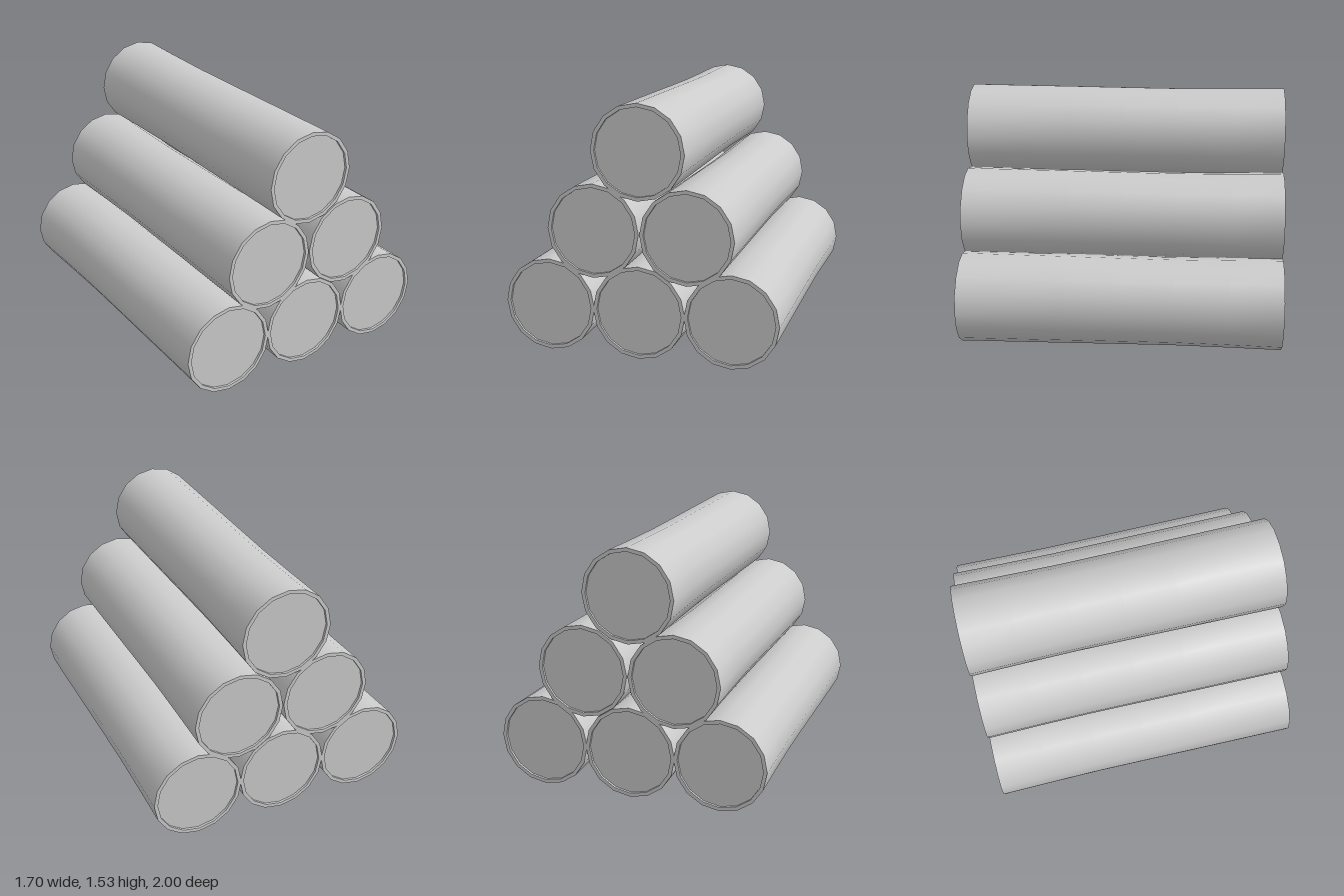
import * as THREE from 'three';
import { toCreasedNormals } from 'three/addons/utils/BufferGeometryUtils.js';

const R = 0.285;      // radius at the ends
const RIM = 0.262;    // inner edge of the bark rim
const RECESS = 0.015; // depth of the sawn face inside the rim

// One log along z: recessed end faces, thin rim, slight waist towards the back
function logGeometry() {
  const profile = [
    [0, -1 + RECESS], [RIM, -1 + RECESS], [RIM, -1],
    [R, -1], [R - 0.006, -0.67], [R - 0.01, -0.33], [R - 0.008, 0], [R - 0.005, 0.33], [R, 1],
    [RIM, 1], [RIM, 1 - RECESS], [0, 1 - RECESS],
  ].map(([r, z]) => new THREE.Vector2(r, z));
  const geometry = new THREE.LatheGeometry(profile, 16);
  geometry.rotateX(Math.PI / 2);
  return toCreasedNormals(geometry, Math.PI / 5);
}

export function createModel() {
  const group = new THREE.Group();
  group.name = 'logPile';
  const material = new THREE.MeshStandardMaterial({ color: 0xcccccc });
  const geometry = logGeometry();

  // Pyramid stack: three, two, one
  const rows = [
    { name: 'bottomLog', y: R, xs: [-0.563, 0, 0.563] },
    { name: 'middleLog', y: 0.763, xs: [-0.28, 0.295] },
    { name: 'topLog', y: 1.247, xs: [0] },
  ];
  for (const { name, y, xs } of rows) {
    xs.forEach((x, i) => {
      const log = new THREE.Mesh(geometry, material);
      log.name = xs.length > 1 ? `${name}${i + 1}` : name;
      log.position.set(x, y, 0);
      group.add(log);
    });
  }
  return group;
}
